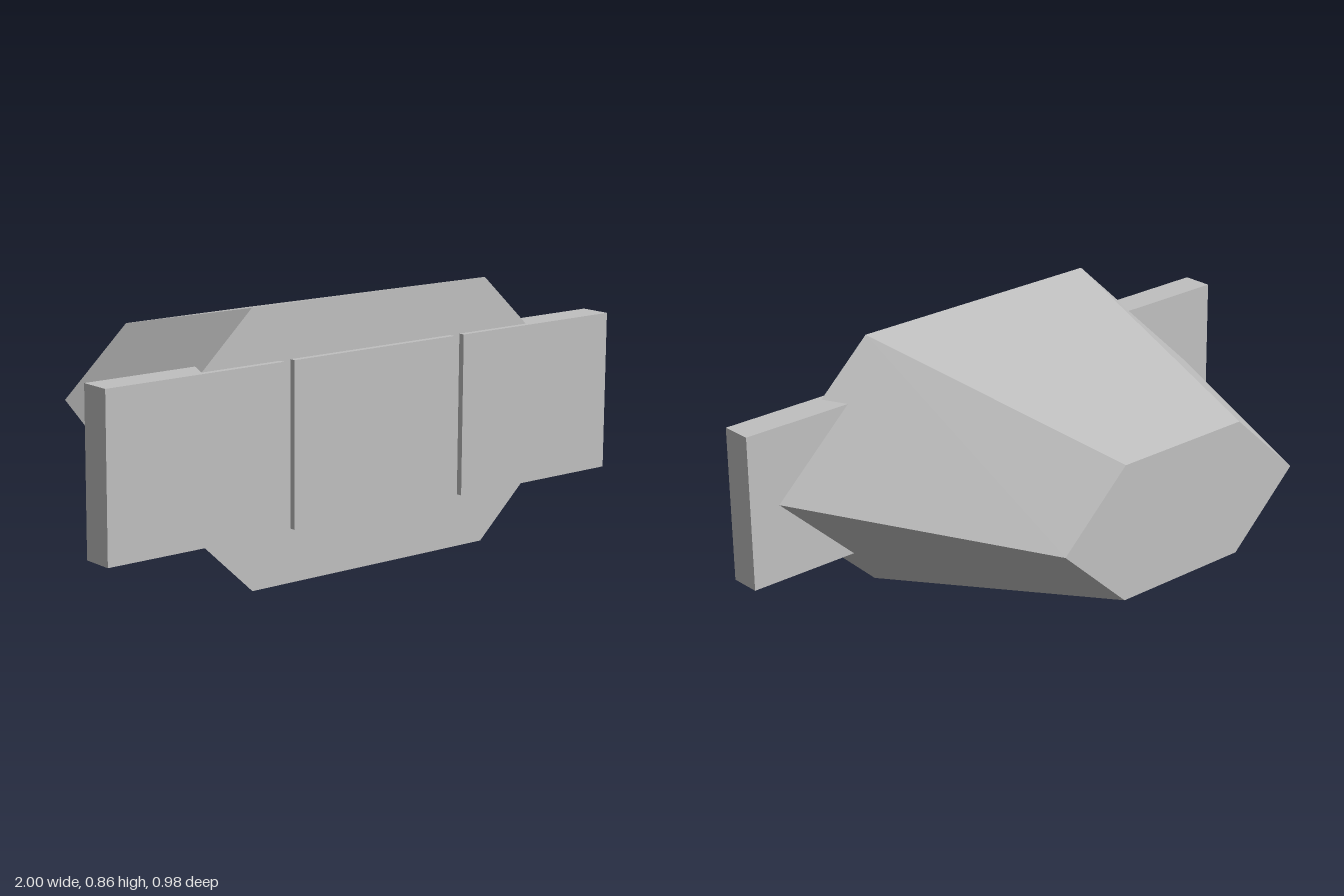
import * as THREE from 'three';

export function createModel() {
  const model = new THREE.Group();
  const grey = new THREE.MeshStandardMaterial({ color: 0xc0c0c0 });
  grey.name = 'grey';
  grey.flatShading = true;

  const add = (name, geometry, x, y, z) => {
    const mesh = new THREE.Mesh(geometry, grey);
    mesh.name = name;
    mesh.position.set(x, y, z);
    model.add(mesh);
  };

  // Tapered hexagonal body: wide end forward, points at the sides, flattened in height
  const body = new THREE.CylinderGeometry(0.93, 0.49, 0.96, 6, 1, false, Math.PI / 2);
  body.rotateX(Math.PI / 2);
  body.scale(1, 0.43 / (0.93 * Math.sin(Math.PI / 3)), 1);
  add('body', body, 0, 0.43, -0.01);

  // Three front panels separated by narrow gaps
  for (const [name, x] of [['rightPanel', -0.68], ['centrePanel', 0], ['leftPanel', 0.68]]) {
    add(name, new THREE.BoxGeometry(0.64, 0.52, 0.105), x, 0.43, 0.4375);
  }

  return model;
}
